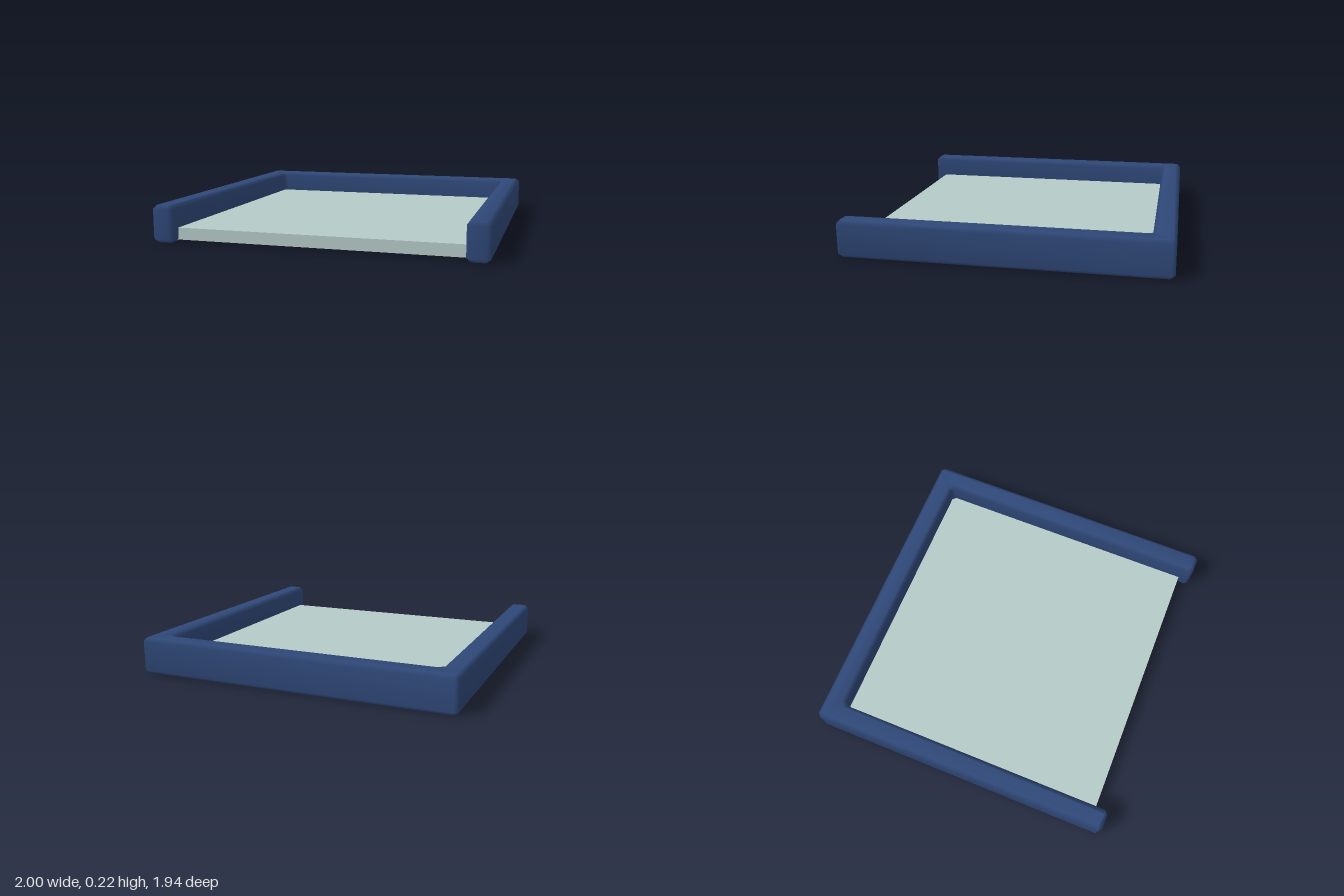
import * as THREE from 'three';
import { mergeVertices } from 'three/addons/utils/BufferGeometryUtils.js';

const HALF_W = 1, HALF_D = 0.97, HEIGHT = 0.225, WALL = 0.133, BEVEL = 0.022;

// U-shaped rim with chamfered corners, open at the front, as one smooth-shaded bar
function rimGeometry() {
  const inner = HALF_W - WALL, back = -HALF_D + WALL, c = BEVEL;
  const half = [
    [HALF_W - c, -HALF_D], [HALF_W, -HALF_D + c],
    [HALF_W, HALF_D - c], [HALF_W - c, HALF_D],
    [inner + c, HALF_D], [inner, HALF_D - c],
    [inner, back + c], [inner - c, back],
  ];
  const mirrored = half.map(([x, z]) => [-x, z]).reverse();
  const shape = new THREE.Shape([...half, ...mirrored].map(([x, z]) => new THREE.Vector2(x, z)));
  let geo = new THREE.ExtrudeGeometry(shape, {
    depth: HEIGHT - 2 * c, bevelEnabled: true, bevelSegments: 1,
    bevelThickness: c, bevelSize: c, bevelOffset: -c,
  });
  geo.rotateX(Math.PI / 2);
  geo.translate(0, HEIGHT - c, 0);
  // weld the faces so the normals blend over the chamfers
  geo.deleteAttribute('uv');
  geo.deleteAttribute('normal');
  geo.clearGroups();
  geo = mergeVertices(geo, 1e-4);
  geo.computeVertexNormals();
  return geo;
}

export function createModel() {
  const navy = new THREE.MeshStandardMaterial({ color: 0x2f4878 });
  navy.name = 'navy';
  const paleGreen = new THREE.MeshStandardMaterial({ color: 0xb5cac8 });
  paleGreen.name = 'paleGreen';

  const model = new THREE.Group();
  model.name = 'traySurround';

  const rim = new THREE.Mesh(rimGeometry(), navy);
  rim.name = 'rim';
  model.add(rim);

  // Flat base, its edges tucked into the rim
  const zBack = -0.9, zFront = 0.895, yLow = 0.012, yHigh = 0.085;
  const base = new THREE.Mesh(new THREE.BoxGeometry(1.8, yHigh - yLow, zFront - zBack), paleGreen);
  base.position.set(0, (yLow + yHigh) / 2, (zBack + zFront) / 2);
  base.name = 'basePanel';
  model.add(base);

  return model;
}
